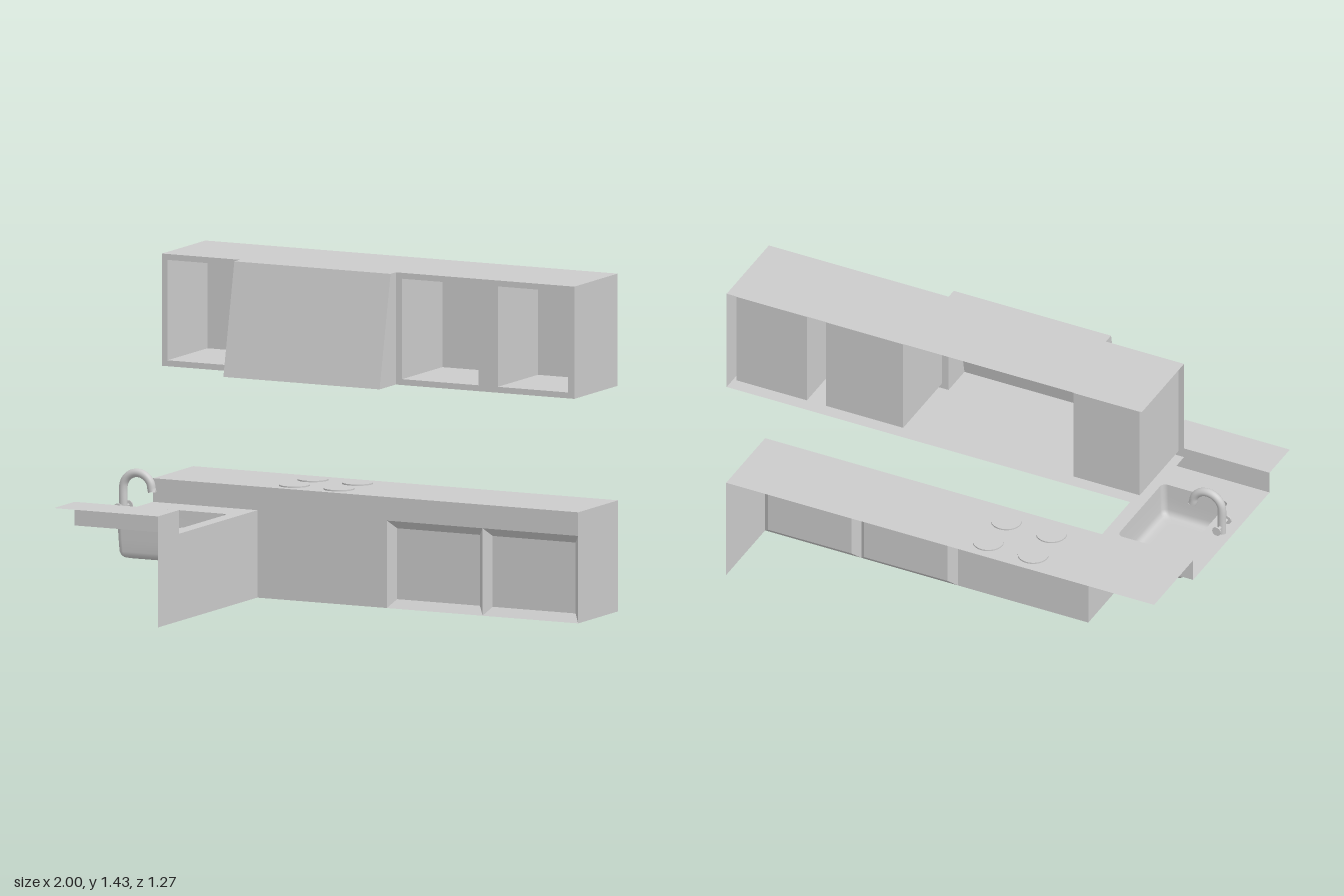
import * as THREE from 'three';

const mat = new THREE.MeshStandardMaterial({ color: 0xcccccc, side: THREE.DoubleSide });

function add(parent, name, geo, x = 0, y = 0, z = 0) {
  const m = new THREE.Mesh(geo, mat);
  m.name = name;
  m.position.set(x, y, z);
  parent.add(m);
  return m;
}

// Thin sheets: each quad is four corners, counter-clockwise from outside
function sheets(quads) {
  const pos = [];
  for (const [a, b, c, d] of quads) pos.push(...a, ...b, ...c, ...a, ...c, ...d);
  const g = new THREE.BufferGeometry();
  g.setAttribute('position', new THREE.Float32BufferAttribute(pos, 3));
  g.computeVertexNormals();
  return g;
}
const level = (x0, x1, z0, z1, y) => [[x0, y, z1], [x1, y, z1], [x1, y, z0], [x0, y, z0]];
const facing = (x0, x1, y0, y1, z) => [[x0, y0, z], [x1, y0, z], [x1, y1, z], [x0, y1, z]];
const side = (z0, z1, y0, y1, x) => [[x, y0, z1], [x, y0, z0], [x, y1, z0], [x, y1, z1]];
const flip = (q) => [...q].reverse();

// Recess: an outer rectangle joined by four walls to an inner one set further back
function recess(o, i, zo, zi) {
  const ring = ([x0, x1, y0, y1], z) => facing(x0, x1, y0, y1, z);
  const A = ring(o, zo), B = ring(i, zi);
  const quads = [B];
  for (let k = 0; k < 4; k++) {
    const n = (k + 1) % 4;
    quads.push([A[k], A[n], B[n], B[k]]);
  }
  return sheets(quads);
}

const v2 = (pts) => pts.map(([x, y]) => new THREE.Vector2(x, y));

// Outline of a rounded rectangle centred on the origin
function roundRect(hx, hy, r, steps = 5) {
  const pts = [];
  [[1, 1], [-1, 1], [-1, -1], [1, -1]].forEach(([sx, sy], q) => {
    for (let i = 0; i <= steps; i++) {
      const t = (q + i / steps) * Math.PI / 2;
      pts.push([sx * (hx - r) + r * Math.cos(t), sy * (hy - r) + r * Math.sin(t)]);
    }
  });
  return pts;
}

// Sink basin: rounded rectangles stacked downward, closed by a flat floor
function basinGeometry(hx, hz, r) {
  const rings = [[0, 0.37], [0.003, 0.3], [0.006, 0.25], [0.011, 0.234], [0.02, 0.224], [0.034, 0.22], [0.06, 0.22]];
  const pos = [], idx = [];
  let n = 0;
  for (const [inset, y] of rings) {
    const pts = roundRect(hx - inset, hz - inset, r);
    n = pts.length;
    for (const [x, z] of pts) pos.push(x, y, z);
  }
  for (let k = 0; k < rings.length - 1; k++)
    for (let i = 0; i < n; i++) {
      const a = k * n + i, b = k * n + (i + 1) % n;
      idx.push(a, b, b + n, a, b + n, a + n);
    }
  const last = (rings.length - 1) * n, c = pos.length / 3;
  pos.push(0, 0.22, 0);
  for (let i = 0; i < n; i++) idx.push(last + i, last + (i + 1) % n, c);
  const g = new THREE.BufferGeometry();
  g.setAttribute('position', new THREE.Float32BufferAttribute(pos, 3));
  g.setIndex(idx);
  g.computeVertexNormals();
  return g;
}

function lowerUnits() {
  const g = new THREE.Group();
  g.name = 'lowerUnits';
  const B = -0.635, F = -0.27, W = -0.51, T = 0.47, S = 0.37, E = 0.445, Z = 0.635;

  // Worktop, raised end shelf and the steps down to the sink
  add(g, 'worktop', sheets([level(-1, 1, B, F, T)]));
  add(g, 'endShelf', sheets([level(-1, W, E, Z, T)]));
  add(g, 'sinkSteps', sheets([facing(-1, W, S, T, F), flip(facing(-1, W, S, T, E))]));
  add(g, 'endPanel', sheets([side(B, F, 0, T, 1)]));

  // Front with two recessed doors
  add(g, 'cabinetFront', new THREE.ShapeGeometry(new THREE.Shape(
    v2([[W, 0], [0.1, 0], [0.1, S], [1, S], [1, T], [W, T]]))), 0, 0, F);
  for (const x of [0.1, 0.55])
    add(g, 'recessedDoor', recess([x, x + 0.45, 0, S], [x + 0.03, x + 0.42, 0.035, 0.335], F, F - 0.035));

  // Return wall with the notch beside the sink
  const wall = new THREE.ShapeGeometry(new THREE.Shape(
    v2([[-Z, 0], [-F, 0], [-F, S], [-E, S], [-E, T], [-Z, T]])));
  add(g, 'returnWall', wall.rotateY(Math.PI / 2), W, 0, 0);

  // Sink counter with its opening, and the basin
  const cx = -0.725, cz = 0.0925, hx = 0.155, hz = 0.2125;
  const top = new THREE.Shape(v2([[-1, -E], [W, -E], [W, -F], [-1, -F]]));
  top.holes.push(new THREE.Path(v2(roundRect(hx, hz, 0.025).map(([x, y]) => [x + cx, y - cz]))));
  add(g, 'sinkCounter', new THREE.ShapeGeometry(top).rotateX(-Math.PI / 2), 0, S, 0);
  add(g, 'sinkBasin', basinGeometry(hx, hz, 0.025), cx, 0, cz);

  // Hob plates
  for (const x of [-0.385, -0.175])
    for (const z of [-0.365, -0.535])
      add(g, 'hobPlate', new THREE.CylinderGeometry(0.065, 0.065, 0.012, 32), x, 0.47, z);
  return g;
}

function tap() {
  const g = new THREE.Group();
  g.name = 'tap';
  const pts = [[-0.067, 0], [-0.067, 0.06]];
  for (let i = 0; i <= 8; i++) {
    const t = Math.PI * (1 - i / 8);
    pts.push([0.067 * Math.cos(t), 0.115 + 0.067 * Math.sin(t)]);
  }
  pts.push([0.07, 0.107]);
  const path = new THREE.CatmullRomCurve3(pts.map(([x, y]) => new THREE.Vector3(x, y, 0)));
  add(g, 'spout', new THREE.TubeGeometry(path, 40, 0.018, 16, false));
  add(g, 'spoutEnd', new THREE.CircleGeometry(0.018, 16).rotateX(Math.PI / 2), 0.07, 0.107, 0);
  // Cross bar with a round knob at each end
  add(g, 'handleBar', new THREE.CylinderGeometry(0.007, 0.007, 0.1, 12).rotateX(Math.PI / 2), -0.067, 0.035, 0);
  for (const s of [-1, 1])
    add(g, 'handleKnob', new THREE.CylinderGeometry(0.02, 0.02, 0.007, 16).rotateX(Math.PI / 2), -0.067, 0.035, s * 0.048);
  g.position.set(-0.885, 0.37, 0.095);
  return g;
}

function upperUnits() {
  const g = new THREE.Group();
  g.name = 'upperUnits';
  const L = -0.94, B = -0.63, F = -0.235, y0 = 0.955, y1 = 1.43;
  const h0 = -0.575, h1 = 0.16, ht = -0.187, hb = -0.087;

  add(g, 'upperTop', sheets([level(L, 1, B, F, y1)]));
  add(g, 'upperBottom', sheets([flip(level(L, 1, B, F, y0))]));
  add(g, 'upperEndPanel', sheets([side(B, F, y0, y1, 1)]));

  // Frames around the open niches, and the niches themselves
  const frames = [[L, h0, [[-0.915, -0.605]]], [h1, 1, [[0.19, 0.55], [0.64, 0.97]]]];
  for (const [a, b, niches] of frames) {
    const s = new THREE.Shape(v2([[a, y0], [b, y0], [b, y1], [a, y1]]));
    for (const [p, q] of niches) {
      s.holes.push(new THREE.Path(v2([[p, 0.98], [p, 1.405], [q, 1.405], [q, 0.98]])));
      const box = [p, q, 0.98, 1.405];
      add(g, 'niche', recess(box, box, F, -0.6));
    }
    add(g, 'upperFrame', new THREE.ShapeGeometry(s), 0, 0, F);
  }

  // Extractor hood: sloping front, cheeks, and strips joining top and bottom
  const cheek = (x) => [[x, y0, hb], [x, y0, F], [x, y1, F], [x, y1, ht]];
  add(g, 'hood', sheets([
    [[h0, y0, hb], [h1, y0, hb], [h1, y1, ht], [h0, y1, ht]],
    cheek(h1), flip(cheek(h0)),
    level(h0, h1, F, ht, y1), flip(level(h0, h1, F, hb, y0)),
  ]));
  return g;
}

export function createModel() {
  const model = new THREE.Group();
  model.name = 'kitchen';
  model.add(lowerUnits(), tap(), upperUnits());
  return model;
}
